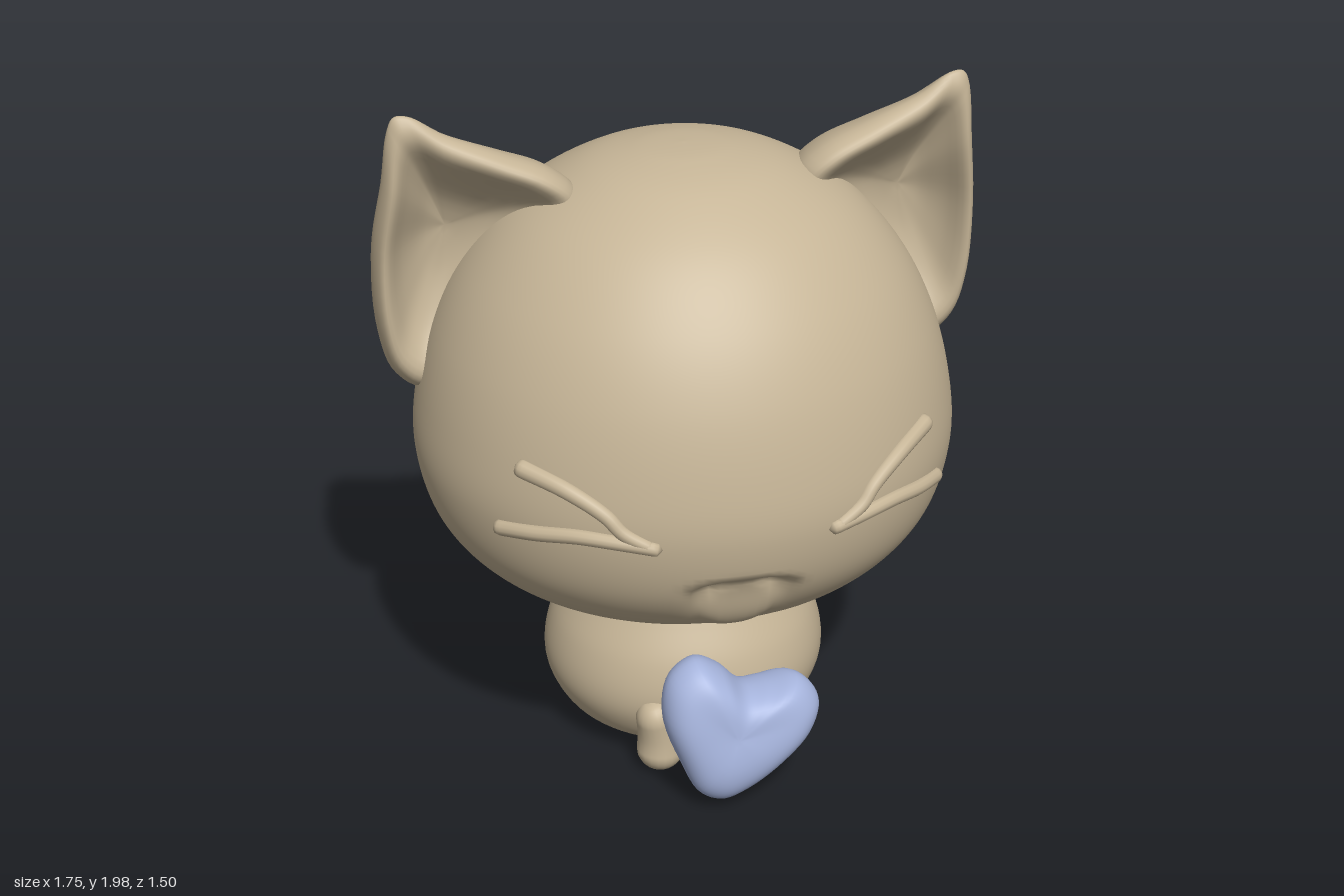
import * as THREE from 'three';
import { mergeVertices } from 'three/addons/utils/BufferGeometryUtils.js';

const fur = new THREE.MeshStandardMaterial({ color: 0xc6b597 });
fur.name = 'tan fur';
const blue = new THREE.MeshStandardMaterial({ color: 0xa6b4dc });
blue.name = 'heart blue';

const V3 = (p) => new THREE.Vector3(...p);
const HEAD_X = 0.785, HEAD_Z = 0.75;

// Weld seams and recompute smooth normals
function smooth(geo) {
  geo.deleteAttribute('uv');
  geo.deleteAttribute('normal');
  const g = mergeVertices(geo, 1e-5);
  g.computeVertexNormals();
  return g;
}

function add(parent, name, geo, mat) {
  const mesh = new THREE.Mesh(geo, mat);
  mesh.name = name;
  parent.add(mesh);
  return mesh;
}

// Smooth profile through [radius, y] points
function profile(pts, n) {
  const c = new THREE.SplineCurve(pts.map((p) => new THREE.Vector2(...p)));
  return c.getPoints(n).map((p) => p.setX(Math.max(0, p.x)));
}

// Closed shape: an outline of [x, y, z, thickness] (counter-clockwise from the
// front) swept through a back-to-front section of [scale, depth]
function pillow(outline, section, center, n = 72, rings = 32) {
  const rim = new THREE.CatmullRomCurve3(outline.map((p) => V3(p.slice(0, 3))), true, 'centripetal');
  const thick = new THREE.CatmullRomCurve3(outline.map((p) => new THREE.Vector3(p[3], 0, 0)), true, 'catmullrom');
  const cut = new THREE.SplineCurve(section.map((p) => new THREE.Vector2(...p)));
  const c = V3(center), pos = [], idx = [];
  for (let i = 0; i <= rings; i++) {
    const s = cut.getPoint(i / rings);
    const k = i === 0 || i === rings ? 0 : Math.max(0, s.x);
    for (let j = 0; j < n; j++) {
      const p = c.clone().lerp(rim.getPoint(j / n), k);
      const t = THREE.MathUtils.lerp(1, thick.getPoint(j / n).x, k * k);
      pos.push(p.x, p.y, p.z + s.y * t);
      if (i < rings) {
        const a = i * n + j, b = i * n + ((j + 1) % n);
        idx.push(a, b, a + n, b, b + n, a + n);
      }
    }
  }
  const g = new THREE.BufferGeometry();
  g.setAttribute('position', new THREE.Float32BufferAttribute(pos, 3));
  g.setIndex(idx);
  return smooth(g);
}

// Tube with rounded ends whose radius runs from r0 to r1
function limb(pts, r0, r1, seg = 48, sides = 20) {
  const curve = new THREE.CatmullRomCurve3(pts.map(V3));
  const len = curve.getLength();
  const g = new THREE.TubeGeometry(curve, seg, 1, sides);
  const pos = g.attributes.position, nor = g.attributes.normal;
  for (let i = 0; i <= seg; i++) {
    const u = i / seg, c = curve.getPointAt(u);
    let r = THREE.MathUtils.lerp(r0, r1, u);
    const e = Math.min(1, (Math.min(u, 1 - u) * len) / r);
    r *= Math.sqrt(Math.max(0, 1 - (1 - e) ** 2));
    for (let j = 0; j <= sides; j++) {
      const v = i * (sides + 1) + j;
      pos.setXYZ(v, c.x + nor.getX(v) * r, c.y + nor.getY(v) * r, c.z + nor.getZ(v) * r);
    }
  }
  return smooth(g);
}

const headProfile = profile([
  [0, 0.52], [0.28, 0.525], [0.45, 0.56], [0.62, 0.645], [0.735, 0.78], [0.783, 0.96],
  [0.77, 1.14], [0.715, 1.34], [0.62, 1.52], [0.48, 1.675], [0.3, 1.785], [0.14, 1.83], [0, 1.84],
], 130);

// Depth of the face surface at x, y
function faceZ(x, y) {
  let i = 1;
  while (i < headProfile.length - 1 && headProfile[i].y < y) i++;
  const a = headProfile[i - 1], b = headProfile[i];
  const r = THREE.MathUtils.lerp(a.x, b.x, (y - a.y) / (b.y - a.y)) / HEAD_X;
  return HEAD_Z * Math.sqrt(Math.max(0, r * r - (x / HEAD_X) ** 2));
}

function headGeometry() {
  const g = new THREE.LatheGeometry(headProfile, 160);
  g.scale(1, 1, HEAD_Z / HEAD_X);
  const p = g.attributes.position, step = THREE.MathUtils.smoothstep;
  for (let i = 0; i < p.count; i++) {
    const x = p.getX(i), y = p.getY(i), z = p.getZ(i);
    if (z < 0.3) continue;
    // Open mouth: sharp upper lip, soft chin, slightly raised tongue
    const top = 0.86 - 0.8 * x * x;
    const side = 1 - step(Math.abs(x), 0.08, 0.18);
    const dent = side * (1 - step(y, top - 0.05, top)) * step(y, 0.6, 0.8);
    const tongue = 1 - step(Math.hypot(x, y - 0.725), 0.08, 0.125);
    p.setZ(i, z - 0.06 * dent + 0.02 * tongue);
  }
  return smooth(g);
}

// Dished ear on side s
function ear(s) {
  const rim = [
    [0.8, 1.99, 0.03, 0.25], [0.76, 1.99, 0.035, 0.25], [0.67, 1.935, 0.04, 0.5], [0.52, 1.875, 0.05, 0.8],
    [0.38, 1.815, 0.055, 1], [0.31, 1.74, 0.04, 1], [0.35, 1.6, 0, 1], [0.5, 1.38, -0.06, 1],
    [0.66, 1.2, -0.09, 1], [0.76, 1.145, -0.09, 1], [0.83, 1.2, -0.09, 1], [0.868, 1.34, -0.08, 1],
    [0.872, 1.57, -0.06, 0.9], [0.84, 1.8, 0, 0.6], [0.82, 1.95, 0.025, 0.3],
  ].map(([x, y, z, t]) => [x * s, y, z, t]);
  if (s < 0) rim.reverse();
  const section = [[0, -0.18], [0.4, -0.175], [0.7, -0.155], [0.9, -0.105], [1, 0],
    [0.94, 0.075], [0.82, 0.085], [0.6, 0.02], [0.3, -0.03], [0, -0.04]];
  return pillow(rim, section, [0.66 * s, 1.62, -0.05]);
}

export function createModel() {
  const model = new THREE.Group();
  model.name = 'sittingCat';

  // Head and body
  add(model, 'head', headGeometry(), fur);
  const body = new THREE.LatheGeometry(profile([
    [0, 0.04], [0.13, 0.035], [0.25, 0.035], [0.35, 0.075], [0.408, 0.16], [0.424, 0.25],
    [0.4, 0.36], [0.345, 0.47], [0.31, 0.54], [0.28, 0.65],
  ], 60), 72);
  body.scale(1, 1, 0.95);
  add(model, 'body', smooth(body), fur);

  for (const s of [1, -1]) {
    const side = s > 0 ? 'left' : 'right';
    add(model, side + 'Ear', ear(s), fur);

    // Squeezed-shut eye: two strokes lying on the face
    const eye = new THREE.Group();
    eye.name = side + 'Eye';
    model.add(eye);
    const stroke = (pts) => pts.map(([x, y]) => [x * s, y, faceZ(x, y)]);
    add(eye, 'upperLid', limb(stroke([[0.25, 0.97], [0.33, 1.015], [0.37, 1.06], [0.46, 1.115], [0.58, 1.15]]), 0.018, 0.028, 40, 12), fur);
    add(eye, 'lowerLid', limb(stroke([[0.23, 0.97], [0.34, 0.985], [0.44, 0.988], [0.54, 0.97], [0.635, 0.945]]), 0.02, 0.024, 40, 12), fur);

    // Small front paw
    const paw = limb([[0.155 * s, 0.01, 0.345], [0.155 * s, 0.12, 0.345], [0.18 * s, 0.25, 0.36]], 0.075, 0.055);
    add(model, side + 'Paw', paw, fur);
  }

  // Tail curling up on the left
  add(model, 'tail', limb([[0.06, 0.11, -0.35], [0.25, 0.13, -0.36], [0.42, 0.185, -0.36],
    [0.55, 0.29, -0.345], [0.63, 0.42, -0.32], [0.675, 0.56, -0.31]], 0.06, 0.072), fur);

  // Plump tilted heart held in front
  const heart = [
    [-0.09, 0.47, 0.5, 1], [-0.165, 0.42, 0.505, 1], [-0.188, 0.31, 0.525, 1], [-0.145, 0.17, 0.555, 0.9],
    [-0.095, 0.075, 0.58, 0.7], [-0.03, 0.048, 0.59, 0.6], [0.05, 0.07, 0.58, 0.7], [0.16, 0.14, 0.56, 0.9],
    [0.25, 0.225, 0.535, 1], [0.275, 0.305, 0.515, 1], [0.22, 0.375, 0.505, 1], [0.13, 0.37, 0.505, 1],
    [0.055, 0.37, 0.505, 1], [-0.015, 0.435, 0.5, 1],
  ];
  const plump = [[0, -0.1], [0.45, -0.1], [0.75, -0.085], [0.93, -0.05], [1, 0],
    [0.93, 0.05], [0.75, 0.085], [0.45, 0.1], [0, 0.1]];
  add(model, 'heart', pillow(heart, plump, [0.01, 0.26, 0.53]), blue);

  return model;
}
